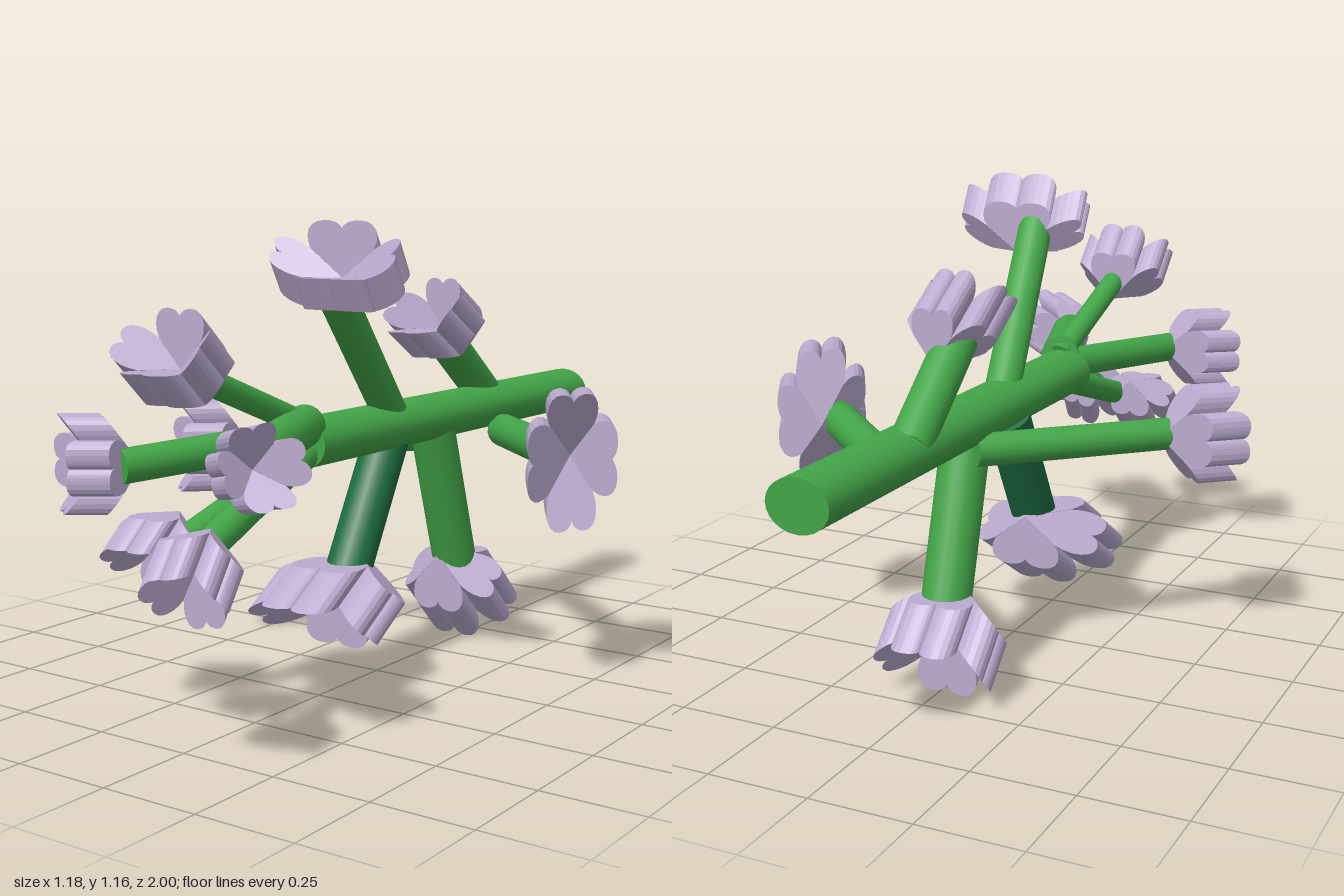
import * as THREE from 'three';
import { mergeGeometries } from 'three/addons/utils/BufferGeometryUtils.js';

const green = new THREE.MeshStandardMaterial({ color: 0x43a548 });
const darkGreen = new THREE.MeshStandardMaterial({ color: 0x1e6e42 });
const lilac = new THREE.MeshStandardMaterial({ color: 0xbbaacf });

// directions in which the flowers open
const dir = (x, y, z) => new THREE.Vector3(x, y, z).normalize();
const up = dir(0, 1, 1), down = dir(0, -1, 1), downBack = dir(0, -1, -1);
const left = dir(1, 0, 1), right = dir(-1, 0, 1);

// round stalk between two points
function makeStalk(from, to, radius, material) {
  const along = to.clone().sub(from);
  const mesh = new THREE.Mesh(new THREE.CylinderGeometry(radius, radius, along.length(), 20), material);
  mesh.position.copy(from).lerp(to, 0.5);
  mesh.quaternion.setFromUnitVectors(new THREE.Vector3(0, 1, 0), along.normalize());
  mesh.name = 'stalk';
  return mesh;
}

// thick heart-shaped petal of unit length, tip at the origin
function petalGeometry() {
  const s = new THREE.Shape();
  s.moveTo(0, 0);
  s.lineTo(0.35, 0.5);
  s.bezierCurveTo(0.45, 0.75, 0.38, 1, 0.2, 1);
  s.bezierCurveTo(0.1, 1, 0.02, 0.95, 0, 0.86);
  s.bezierCurveTo(-0.02, 0.95, -0.1, 1, -0.2, 1);
  s.bezierCurveTo(-0.38, 1, -0.45, 0.75, -0.35, 0.5);
  s.lineTo(0, 0);
  const g = new THREE.ExtrudeGeometry(s, { depth: 0.8, bevelEnabled: false, curveSegments: 6 });
  return g.translate(0, 0, -0.8);
}

// cup of four petals, each thickened backwards along the flower's axis;
// size is the petal length along x, y and z
function makeFlower(axis, size) {
  const front = new THREE.Vector3(0, 0, 1).addScaledVector(axis, -axis.z).normalize();
  const petals = [];
  for (let i = 0; i < 4; i++) {
    const out = front.clone().applyAxisAngle(axis, (i * Math.PI) / 2);
    const along = out.clone().add(axis).normalize();
    const side = out.clone().cross(axis);
    petals.push(petalGeometry().applyMatrix4(new THREE.Matrix4().makeBasis(side, along, axis)));
  }
  const mesh = new THREE.Mesh(mergeGeometries(petals).scale(...size), lilac);
  mesh.name = 'flower';
  return mesh;
}

// points where the front cluster leaves the stem
const tipTop = [0.01, 0.68, 0.31], tipMiddle = [0, 0.655, 0.33], tipBottom = [0.015, 0.615, 0.31];

// stalk start, x of stalk end, stalk radius, flower base, opening direction, petal size
const sprigs = [
  // front cluster
  [[0, 0.64, -0.08], 0.085, 0.045, [0.125, 1.03, 0.32], up, [0.248, 0.13, 0.07]],
  [tipTop, 0, 0.03, [0, 0.85, 0.735], up, [0.17, 0.13, 0.135]],
  [tipTop, 0.17, 0.05, [0.205, 0.655, 0.75], dir(1, 0.3, 1), [0.15, 0.125, 0.1]],
  [tipMiddle, -0.15, 0.04, [-0.215, 0.63, 0.773], right, [0.135, 0.156, 0.097]],
  [tipBottom, 0.01, 0.033, [-0.045, 0.473, 0.763], down, [0.149, 0.103, 0.116]],
  [tipBottom, 0.135, 0.035, [0.16, 0.465, 0.88], dir(0.2, -1, 1), [0.138, 0.125, 0.12]],
  // lower pair, the front one with a darker stalk
  [[0, 0.61, -0.26], -0.01, 0.06, [-0.02, 0.155, -0.415], downBack, [0.2, 0.155, 0.155]],
  [[-0.01, 0.6, -0.06], -0.005, 0.058, [-0.02, 0.235, 0.147], down, [0.24, 0.135, 0.213], darkGreen],
  // upper rear
  [[-0.02, 0.65, -0.58], -0.005, 0.05, [0.015, 0.87, -0.285], up, [0.135, 0.13, 0.206]],
  // sides
  [[0.08, 0.575, -0.5], 0.43, 0.045, [0.46, 0.585, -0.17], left, [0.129, 0.234, 0.213]],
  [[-0.04, 0.575, -0.3], -0.42, 0.04, [-0.455, 0.565, 0.105], right, [0.135, 0.17, 0.116]],
];

export function createModel() {
  const model = new THREE.Group();
  model.name = 'flowerBranch';

  // main stem, slightly oval
  const stemGeometry = new THREE.CylinderGeometry(1, 1, 1.32, 24).rotateX(Math.PI / 2).scale(0.075, 0.06, 1);
  const stem = new THREE.Mesh(stemGeometry, green);
  stem.position.set(0, 0.635, -0.34);
  stem.name = 'mainStem';
  model.add(stem);

  for (const [start, endX, radius, base, axis, size, material = green] of sprigs) {
    const flower = makeFlower(axis, size);
    flower.position.set(...base);
    const end = flower.position.clone().setX(endX);
    const sprig = new THREE.Group();
    sprig.name = 'sprig';
    sprig.add(makeStalk(new THREE.Vector3(...start), end, radius, material), flower);
    model.add(sprig);
  }
  return model;
}
